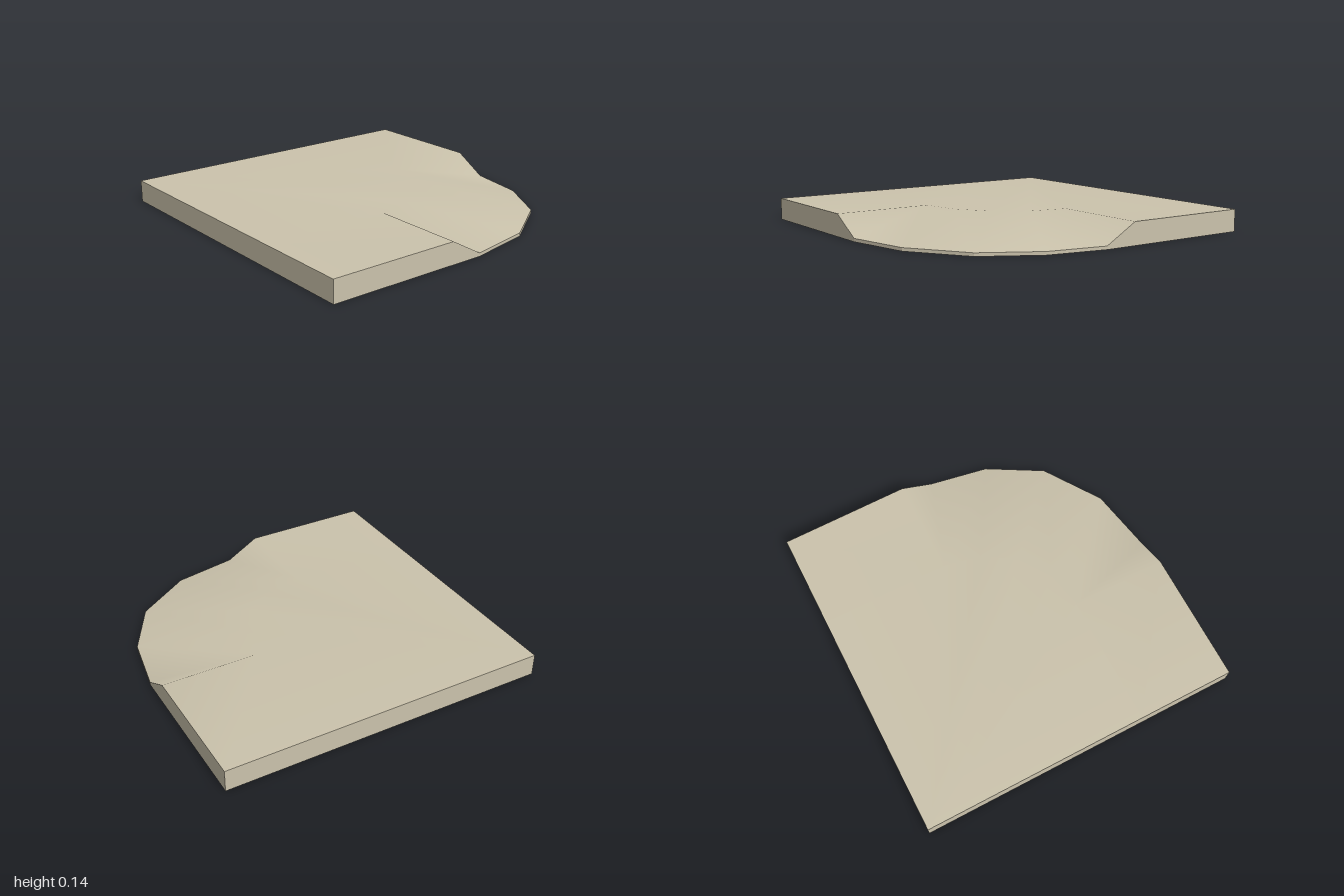
import * as THREE from 'three';

const TOP = 0.135, RIM = 0.02;
const at = (y) => ([x, z]) => [x, y, z];

// Fans each polygon into triangles, sharing vertices when smooth
function meshFrom(name, polygons, material, smooth) {
  const positions = [], index = [], seen = new Map();
  const id = (p) => {
    const key = p.join();
    if (smooth && seen.has(key)) return seen.get(key);
    const n = positions.length / 3;
    positions.push(...p);
    seen.set(key, n);
    return n;
  };
  for (const poly of polygons) {
    for (let k = 1; k < poly.length - 1; k++) index.push(id(poly[0]), id(poly[k]), id(poly[k + 1]));
  }
  const geometry = new THREE.BufferGeometry();
  geometry.setAttribute('position', new THREE.Float32BufferAttribute(positions, 3));
  geometry.setIndex(index);
  geometry.computeVertexNormals();
  const mesh = new THREE.Mesh(geometry, material);
  mesh.name = name;
  return mesh;
}

export function createModel() {
  const group = new THREE.Group();
  group.name = 'cornerTile';
  const stone = new THREE.MeshStandardMaterial({ color: 0xcbc3ac });
  stone.name = 'pale stone';

  // Low outer rim, and the edge of the raised floor as a smaller arc
  const outer = [[0, 1], [0.4, 0.923], [0.746, 0.693], [0.935, 0.362], [1, 0]].map(at(RIM));
  const inner = outer.map((_, k) => {
    const a = (Math.PI / 2) * (1 - k / 4);
    return [-0.2 + 0.6 * Math.cos(a), TOP, -0.2 + 0.6 * Math.sin(a)];
  });
  const [backLeft, leftMid, frontLeft, frontLip, rightLip, backRight, backMid] =
    [[-1, -1], [-1, 0.4], [-1, 1], [-0.2, 1], [1, -0.2], [1, -1], [0.4, -1]].map(at(TOP));

  // Raised floor, short ramps beside the dip, and the sloping dip
  const surface = [
    [backLeft, leftMid, ...inner, backMid],
    [leftMid, frontLeft, frontLip, inner[0]],
    [inner[4], rightLip, backRight, backMid],
    [inner[0], frontLip, outer[0]],
    [inner[4], outer[4], rightLip],
  ];
  for (let k = 0; k < 4; k++) {
    const quad = [inner[k], outer[k], outer[k + 1], inner[k + 1]];
    // Mirror the diagonal on the second half
    if (k > 1) quad.unshift(quad.pop());
    surface.push(quad);
  }
  group.add(meshFrom('topSurface', surface, stone, true));

  // Side walls down to the ground
  const loop = [backLeft, frontLeft, frontLip, ...outer, rightLip, backRight];
  const ground = loop.map(([x, , z]) => [x, 0, z]);
  const walls = loop.map((p, k) => {
    const n = (k + 1) % loop.length;
    return [p, ground[k], ground[n], loop[n]];
  });
  group.add(meshFrom('sideWalls', walls, stone, false));

  // Flat underside
  group.add(meshFrom('underside', [ground.slice().reverse()], stone, false));
  return group;
}
